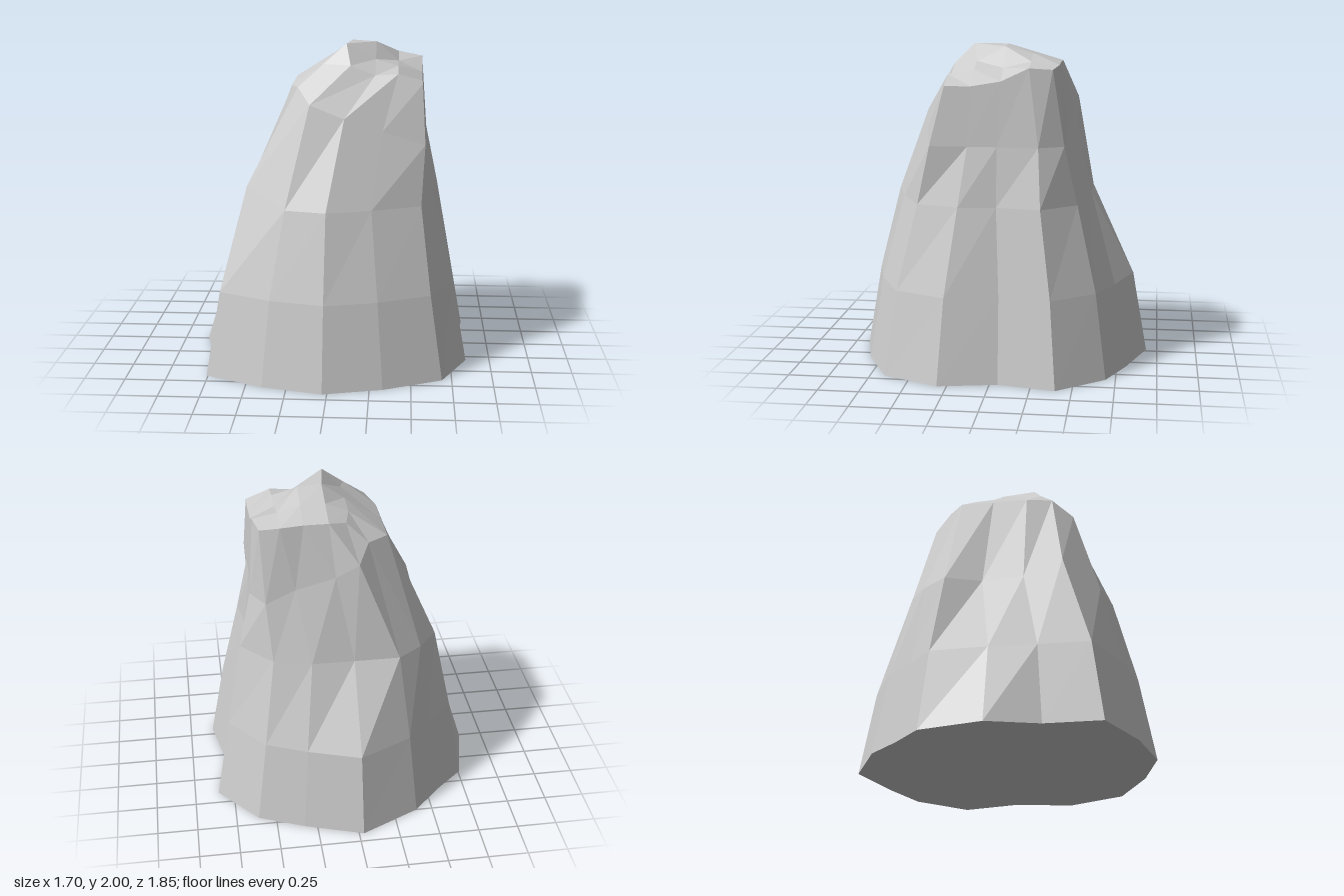
import * as THREE from 'three';

// Each loop has 16 corners, from the front-left round by +x, the back and -x.
const base = [
  [-.76, .66], [-.4, .83], [-.03, .92], [.33, .83], [.69, .66], [.85, .31], [.78, -.05], [.85, -.4],
  [.61, -.69], [.33, -.81], [-.03, -.93], [-.4, -.75], [-.57, -.57], [-.76, -.4], [-.85, -.01], [-.76, .31],
];
const waist = [
  [-.52, .42], [-.27, .63], [-.02, .69], [.25, .61], [.55, .47], [.64, .21], [.61, -.02], [.66, -.29],
  [.47, -.5], [.24, -.56], [-.02, -.56], [-.3, -.56], [-.45, -.45], [-.57, -.3], [-.49, -.08], [-.52, .18],
];
const shoulder = [
  [-.21, .33], [-.13, .46], [.08, .48], [.31, .44], [.57, .39], [.57, .16], [.57, -.02], [.585, -.27],
  [.5, -.42], [.32, -.43], [.08, -.46], [-.06, -.47], [-.13, -.36], [-.26, -.26], [-.26, -.05], [-.26, .17],
];
// The shoulder slopes down from the -x side to the +x side.
const shoulderY = [1.75, 1.66, 1.58, 1.5, 1.41, 1.41, 1.41, 1.41, 1.41, 1.5, 1.58, 1.66, 1.75, 1.74, 1.74, 1.74];

// Summit: a 4 x 4 patch, rows running from front to back.
const summitX = [-.03, .11, .26, .4, .55];
const summitZ = [.3, .14, -.04, -.21, -.38];
const summitY = [
  [1.87, 1.88, 1.82, 1.83, 1.77],
  [1.89, 2.0, 1.9, 1.86, 1.77],
  [1.9, 2.0, 1.99, 1.87, 1.8],
  [1.89, 1.95, 1.95, 1.91, 1.88],
  [1.87, 1.9, 1.9, 1.89, 1.87],
];

function summitGrid() {
  const grid = summitY.map((row, j) => row.map((y, i) => [summitX[i], y, summitZ[j]]));
  grid[0][0] = [-.06, 1.88, .24];
  grid[1][1] = [.08, 2, .18];
  grid[4][0] = [0, 1.87, -.32];
  grid[4][4] = [.52, 1.87, -.35];
  return grid;
}

// Border of the patch in the same order as the loops
function border(grid) {
  const loop = [];
  for (let k = 0; k < 4; k++) loop.push(grid[0][k]);
  for (let k = 0; k < 4; k++) loop.push(grid[k][4]);
  for (let k = 4; k > 0; k--) loop.push(grid[4][k]);
  for (let k = 4; k > 0; k--) loop.push(grid[k][0]);
  return loop;
}

function makeMesh(name, points) {
  const geometry = new THREE.BufferGeometry();
  geometry.setAttribute('position', new THREE.Float32BufferAttribute(points.flat(), 3));
  geometry.computeVertexNormals();
  const mesh = new THREE.Mesh(geometry, new THREE.MeshStandardMaterial({ color: 0xcccccc, flatShading: true }));
  mesh.name = name;
  return mesh;
}

const quad = (a, b, c, d) => [a, b, c, a, c, d];

export function createModel() {
  const group = new THREE.Group();
  group.name = 'rock';
  const grid = summitGrid();

  const loops = [
    base.map(([x, z]) => [x, 0, z]),
    base.map(([x, z], i) => [x * (i === 14 ? .81 : .89), .52, z * .9]),
    waist.map(([x, z], i) => [x, i === 0 ? 1.15 : 1.05, z]),
    shoulder.map(([x, z], i) => [x, shoulderY[i], z]),
    border(grid),
  ];

  // Faceted flanks
  const flanks = [];
  for (let r = 0; r < 4; r++) {
    for (let i = 0; i < 16; i++) {
      const n = (i + 1) % 16;
      flanks.push(...quad(loops[r][i], loops[r][n], loops[r + 1][n], loops[r + 1][i]));
    }
  }
  group.add(makeMesh('flanks', flanks));

  // Uneven summit
  const summit = [];
  for (let j = 0; j < 4; j++) {
    for (let i = 0; i < 4; i++) {
      summit.push(...quad(grid[j][i], grid[j][i + 1], grid[j + 1][i + 1], grid[j + 1][i]));
    }
  }
  group.add(makeMesh('summit', summit));

  // Flat underside
  const underside = [];
  loops[0].forEach((p, i) => underside.push([0, 0, 0], loops[0][(i + 1) % 16], p));
  group.add(makeMesh('underside', underside));

  return group;
}
